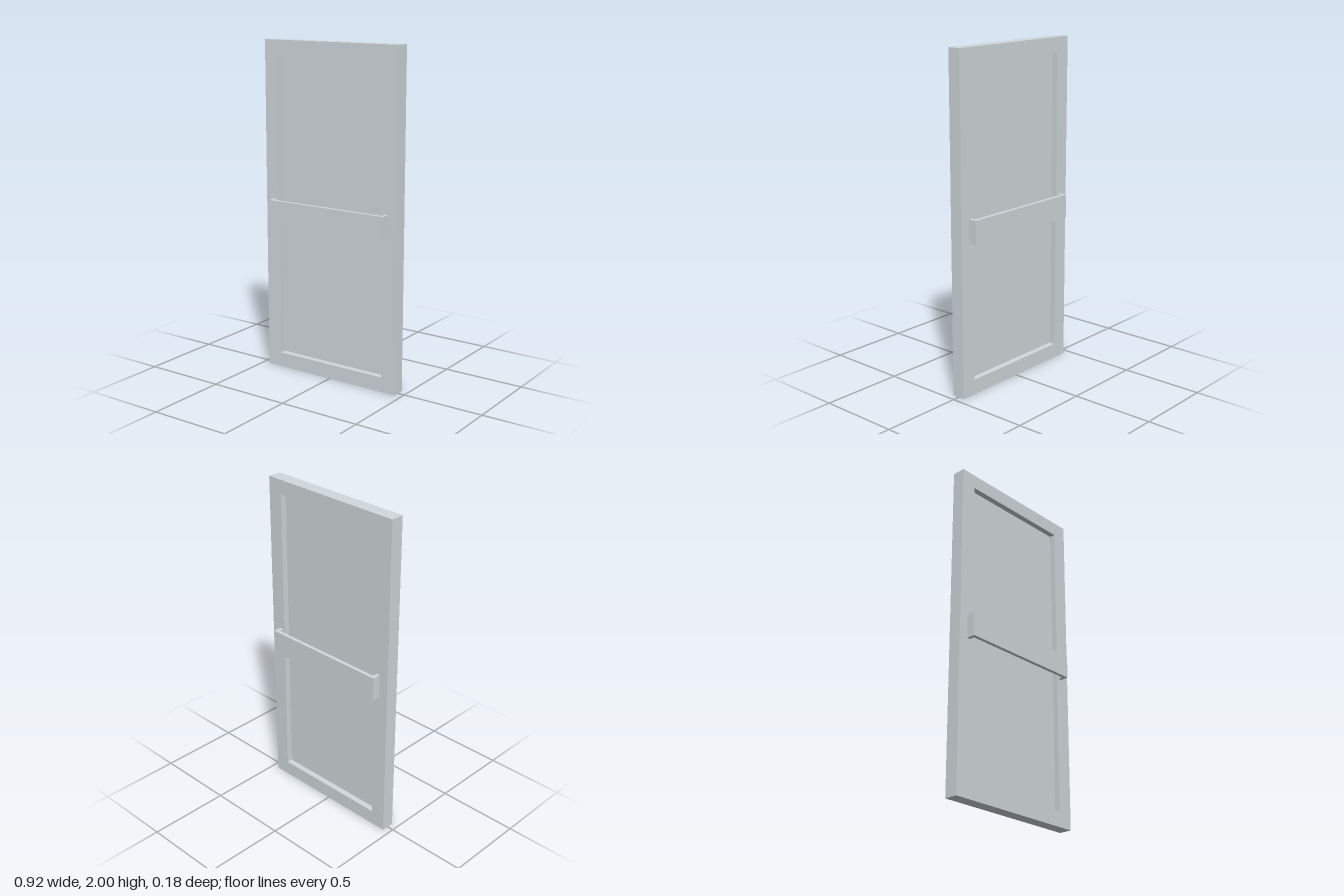
import * as THREE from 'three';

export function createModel() {
  const model = new THREE.Group();
  const metal = new THREE.MeshStandardMaterial({ color: 0xd2d9dd });
  metal.name = 'light grey metal';

  const W = 0.459, H = 2, D = 0.04; // half width, height, half depth
  const openX = 0.366, openLow = 0.09, openHigh = 1.913;

  // Door frame: rectangle with one tall opening
  const rect = (C, x, y0, y1) => new C([
    new THREE.Vector2(-x, y0), new THREE.Vector2(x, y0),
    new THREE.Vector2(x, y1), new THREE.Vector2(-x, y1),
  ]);
  const outline = rect(THREE.Shape, W, 0, H);
  outline.holes.push(rect(THREE.Path, openX, openLow, openHigh));
  const frameGeo = new THREE.ExtrudeGeometry(outline, { depth: 2 * D, bevelEnabled: false });
  frameGeo.translate(0, 0, -D);
  const frame = new THREE.Mesh(frameGeo, metal);
  frame.name = 'doorFrame';
  model.add(frame);

  const box = (parent, name, w, h, d, x, y, z) => {
    const mesh = new THREE.Mesh(new THREE.BoxGeometry(w, h, d), metal);
    mesh.name = name;
    mesh.position.set(x, y, z);
    parent.add(mesh);
  };

  // Thin panel recessed on both faces
  box(model, 'panel', 2 * openX, openHigh - openLow, 0.008, 0, (openLow + openHigh) / 2, 0);

  // Push bar with end brackets, on the front and the back
  const barX = 0.4, barH = 0.143, barY = 0.986, wall = 0.022, reach = 0.092;
  for (const side of [1, -1]) {
    const handle = new THREE.Group();
    handle.name = side > 0 ? 'frontPushBar' : 'backPushBar';
    box(handle, 'bar', 2 * barX, barH, wall, 0, barY, side * (reach - wall / 2));
    const gap = reach - wall - D;
    for (const end of [1, -1]) {
      box(handle, end > 0 ? 'leftBracket' : 'rightBracket', wall, barH, gap,
        end * (barX - wall / 2), barY, side * (D + gap / 2));
    }
    model.add(handle);
  }

  return model;
}
